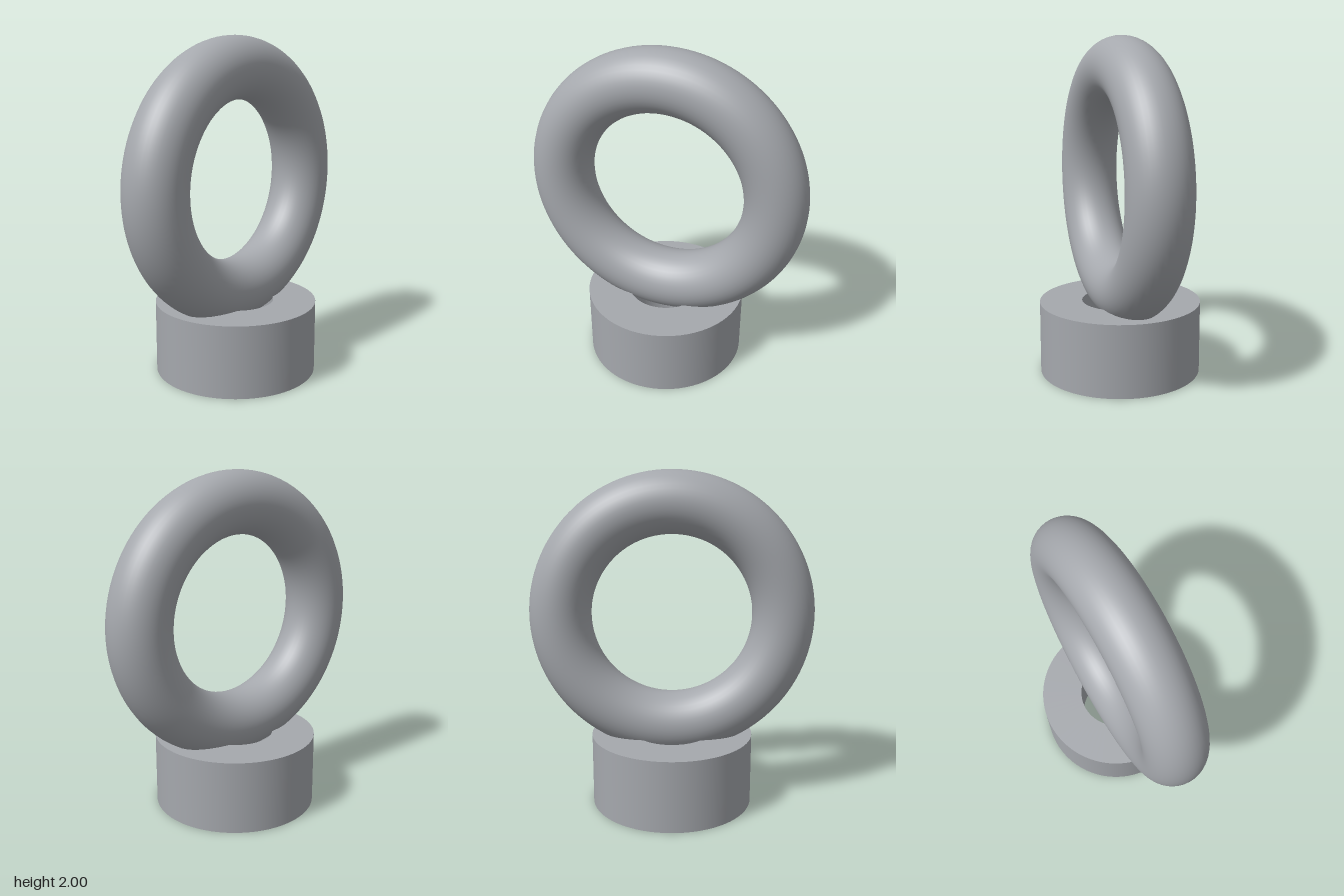
import * as THREE from 'three';
import { mergeGeometries } from 'three/addons/utils/BufferGeometryUtils.js';

const OUTER = 0.485, BORE = 0.23, HEIGHT = 0.43;
const RING = 0.6575, TUBE = 0.1825;

// Revolve each side of a closed profile separately so its corners stay sharp
function sharpLathe(profile, segments) {
  const sides = profile.map((p, i) => {
    const q = profile[(i + 1) % profile.length];
    return new THREE.LatheGeometry([new THREE.Vector2(...p), new THREE.Vector2(...q)], segments);
  });
  return mergeGeometries(sides);
}

export function createModel() {
  const model = new THREE.Group();
  model.name = 'liftingEyeNut';
  const steel = new THREE.MeshStandardMaterial({ color: 0xa5a8ad });
  steel.name = 'steel grey';

  // Round collar with a through bore
  const collar = new THREE.Mesh(
    sharpLathe([[BORE, 0], [OUTER, 0], [OUTER, HEIGHT], [BORE, HEIGHT]], 72), steel);
  collar.name = 'collar';
  model.add(collar);

  // Upright ring, turned about the bore axis and sunk into the collar
  const ring = new THREE.Mesh(new THREE.TorusGeometry(RING, TUBE, 40, 120), steel);
  ring.name = 'liftingRing';
  ring.position.y = 2 - RING - TUBE;
  ring.rotation.y = Math.PI / 6;
  model.add(ring);

  return model;
}
